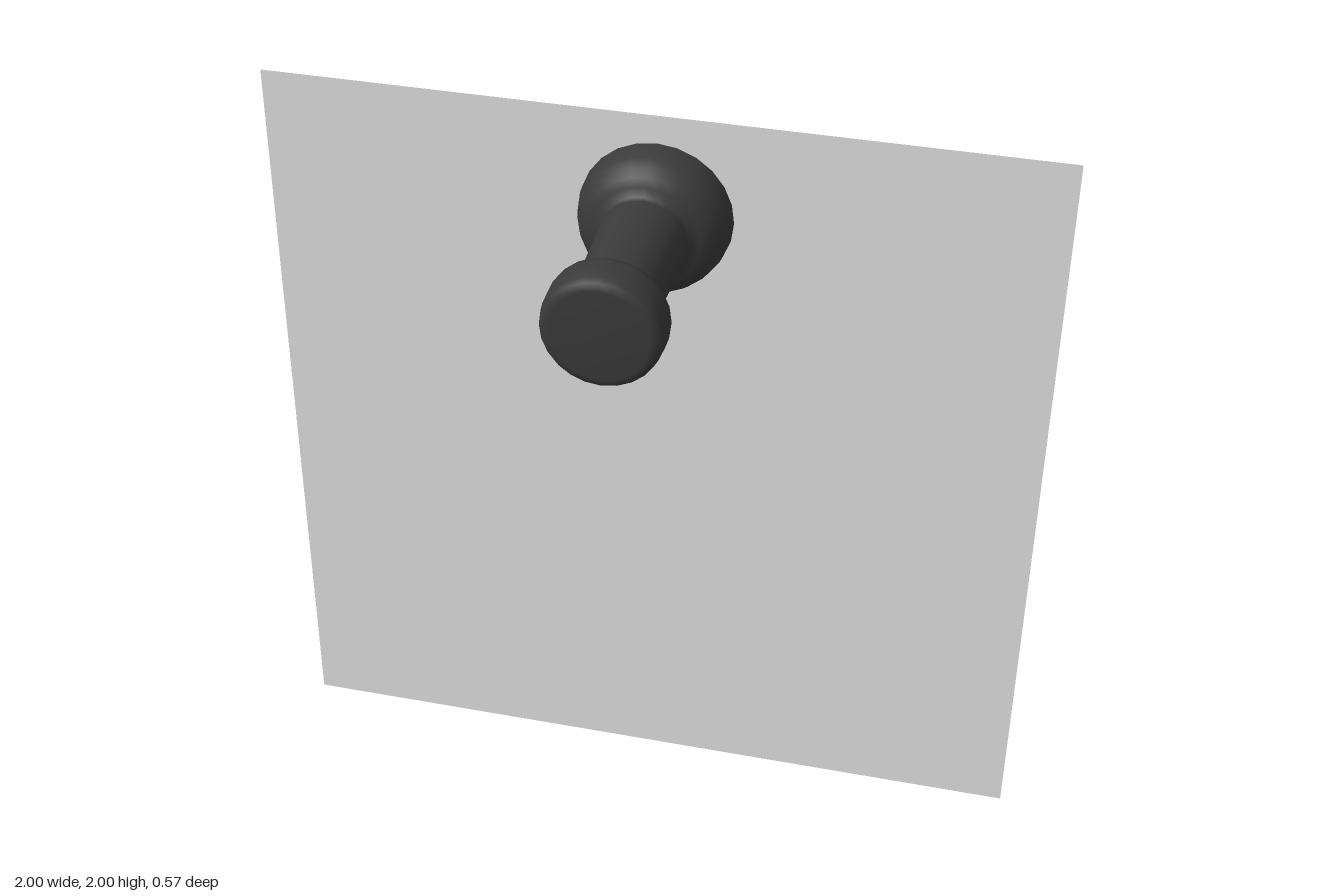
import * as THREE from 'three';

export function createModel() {
  const model = new THREE.Group();
  const paper = new THREE.MeshStandardMaterial({ color: 0xe2e2e2, side: THREE.DoubleSide });
  paper.name = 'pale grey paper';
  const plastic = new THREE.MeshStandardMaterial({ color: 0x3a3a3a });
  plastic.name = 'dark plastic';

  // Square sheet, a single flat surface
  const sheet = new THREE.Mesh(new THREE.PlaneGeometry(2, 2), paper);
  sheet.name = 'sheet';
  sheet.position.set(0, 1, -0.284);
  model.add(sheet);

  // Push pin, turned around an axis that points forward: radius, then z
  const profile = [
    // flared foot against the sheet
    [0.193, -0.276], [0.191, -0.25], [0.184, -0.22], [0.173, -0.195],
    [0.155, -0.175], [0.135, -0.163], [0.112, -0.156],
    // slightly tapered grip
    [0.111, -0.14], [0.101, 0.15],
    // rounded head
    [0.103, 0.161], [0.118, 0.168], [0.134, 0.175], [0.145, 0.184], [0.148, 0.198],
    [0.148, 0.24], [0.144, 0.268], [0.136, 0.28], [0.118, 0.287], [0, 0.288],
  ].map(([r, z]) => new THREE.Vector2(r, z));
  const pin = new THREE.Mesh(new THREE.LatheGeometry(profile, 24).rotateX(Math.PI / 2), plastic);
  pin.name = 'pushPin';
  pin.position.y = 1.738;
  model.add(pin);

  return model;
}
